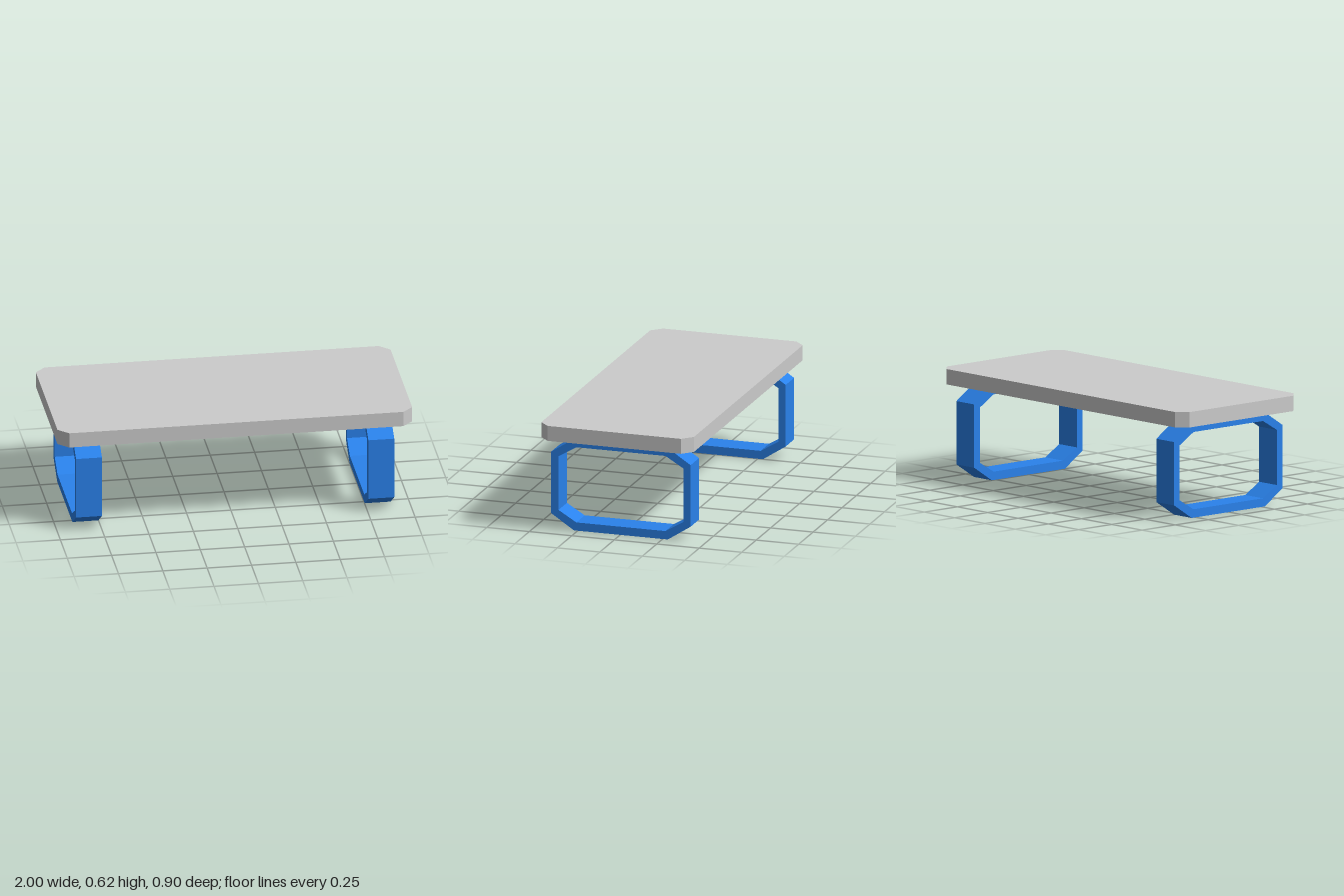
import * as THREE from 'three';

// Corner points of a rectangle with cut corners: half sizes (w, h), half lengths of the straight runs (fw, fh)
function cutCorners(w, h, fw, fh) {
  return [
    [fw, -h], [w, -fh], [w, fh], [fw, h],
    [-fw, h], [-w, fh], [-w, -fh], [-fw, -h],
  ].map(([x, y]) => new THREE.Vector2(x, y));
}

// Extrude a shape, centred on its depth
function slab(shape, depth) {
  const geometry = new THREE.ExtrudeGeometry(shape, { depth, bevelEnabled: false });
  return geometry.translate(0, 0, -depth / 2);
}

export function createModel() {
  const group = new THREE.Group();
  group.name = 'table';
  const grey = new THREE.MeshStandardMaterial({ color: 0xcccccc, flatShading: true });
  const blue = new THREE.MeshStandardMaterial({ color: 0x2a82eb, flatShading: true });

  // Table top with chamfered corners
  const topShape = new THREE.Shape(cutCorners(1, 0.449, 0.942, 0.392));
  const top = new THREE.Mesh(slab(topShape, 0.087).rotateX(-Math.PI / 2), grey);
  top.name = 'tableTop';
  top.position.y = 0.5815;
  group.add(top);

  // Octagonal loop legs
  const loop = new THREE.Shape(cutCorners(0.41, 0.266, 0.276, 0.179));
  loop.holes.push(new THREE.Path(cutCorners(0.367, 0.2185, 0.2625, 0.156).reverse()));
  const legGeometry = slab(loop, 0.146).rotateY(Math.PI / 2);
  for (const side of [1, -1]) {
    const leg = new THREE.Mesh(legGeometry, blue);
    leg.name = side > 0 ? 'leftLeg' : 'rightLeg';
    leg.position.set(side * 0.824, 0.266, -0.004);
    group.add(leg);
  }
  return group;
}
